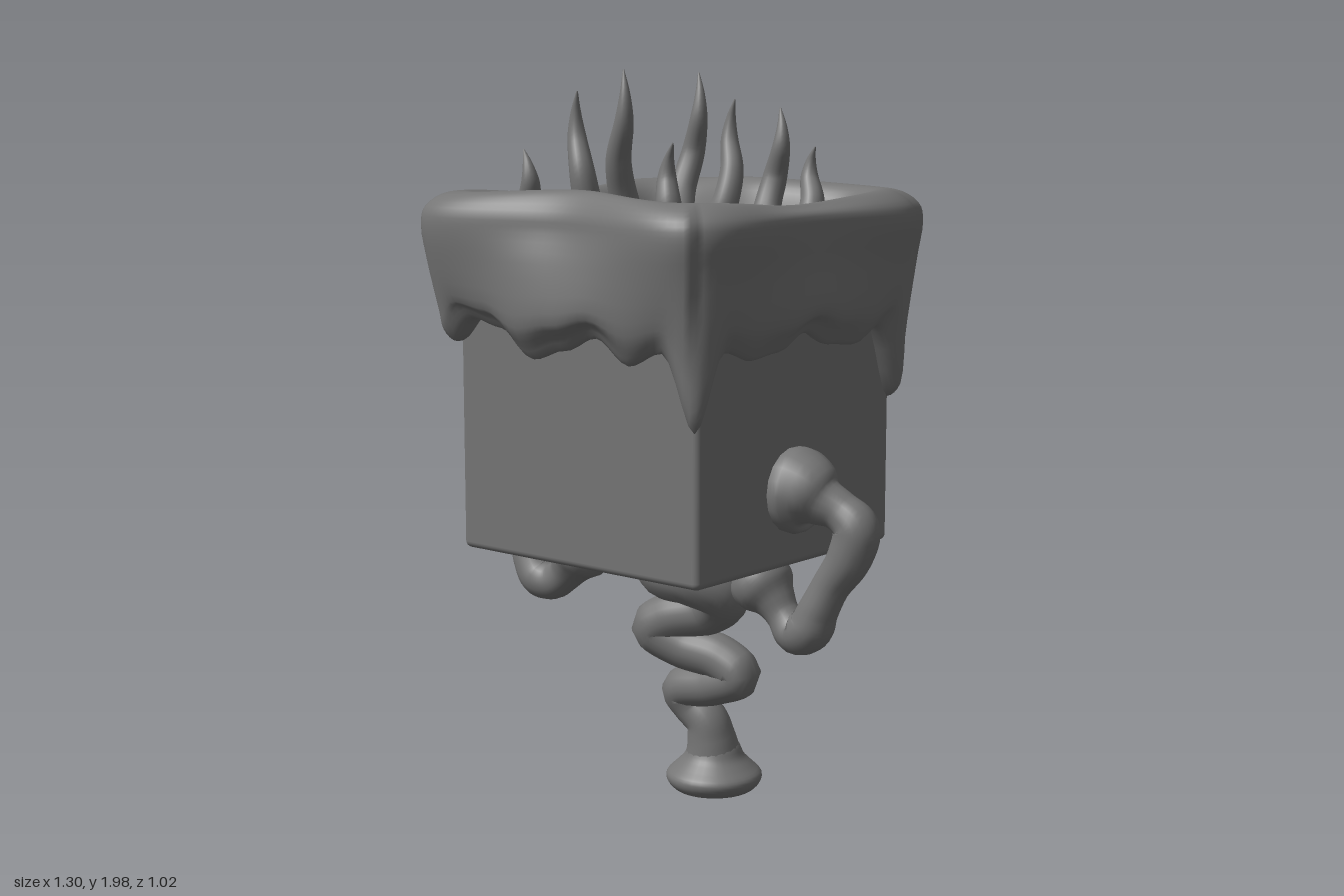
import * as THREE from 'three';
import { RoundedBoxGeometry } from 'three/addons/geometries/RoundedBoxGeometry.js';

const clay = new THREE.MeshStandardMaterial({ color: 0x757575 });
clay.name = 'grey clay';

const spline = (pts) => new THREE.CatmullRomCurve3(pts.map((p) => new THREE.Vector3(...p)), false, 'centripetal');

// Skin a grid of rows (each a closed ring of points) with smooth normals
function skin(rows) {
  const n = rows[0].length;
  const index = [];
  for (let j = 0; j < rows.length - 1; j++) {
    for (let i = 0; i < n; i++) {
      const k = (i + 1) % n, a = j * n + i, b = j * n + k;
      index.push(a, b, b + n, a, b + n, a + n);
    }
  }
  const g = new THREE.BufferGeometry();
  g.setAttribute('position', new THREE.Float32BufferAttribute(rows.flat().flatMap((p) => p.toArray()), 3));
  g.setIndex(index);
  g.computeVertexNormals();
  return g;
}

// Tube through [x, y, z, radius] points, closed at both ends
function limb(points, steps = 64, sides = 18) {
  const curve = spline(points);
  const radii = spline(points.map((p, i) => [i, p[3], 0]));
  const frames = curve.computeFrenetFrames(steps, false);
  const rows = [];
  for (let j = 0; j <= steps; j++) {
    const t = j / steps;
    const c = curve.getPointAt(t);
    const r = radii.getPoint(curve.getUtoTmapping(t)).y;
    const ring = [];
    for (let i = 0; i < sides; i++) {
      const a = (i / sides) * Math.PI * 2;
      ring.push(c.clone()
        .addScaledVector(frames.normals[j], Math.cos(a) * r)
        .addScaledVector(frames.binormals[j], Math.sin(a) * r));
    }
    rows.push(ring);
  }
  const cap = (p) => Array.from({ length: sides }, () => p.clone());
  return skin([cap(curve.getPoint(0)), ...rows, cap(curve.getPoint(1))]);
}

// Lower edge heights of the icing: front, +x side, back, -x side
const drips = [
  1.28, 1.35, 1.33, 1.26, 1.29, 1.33, 1.27, 1.31,
  1.12, 1.31, 1.28, 1.29, 1.33, 1.29, 1.28, 1.32,
  1.12, 1.27, 1.33, 1.36, 1.34, 1.30, 1.35, 1.30,
  1.21, 1.29, 1.33, 1.35, 1.30, 1.33, 1.34, 1.32,
];
function dripHeight(u) {
  const s = u * drips.length, i = Math.floor(s), f = s - i;
  return THREE.MathUtils.lerp(drips[i % 32], drips[(i + 1) % 32], f * f * (3 - 2 * f));
}

function icingGeometry() {
  const around = 160, up = 48;
  const columns = [];
  for (let i = 0; i < around; i++) {
    const u = i / around;
    const side = Math.floor(u * 4), t = (u * 4 - side) * 2 - 1;
    const [sx, sz] = [[t, 1], [1, -t], [-t, -1], [-1, t]][side];
    const mid = Math.cos((t * Math.PI) / 2) ** 2.5;
    const endSide = side % 2;
    const low = dripHeight(u);
    const top = 1.672 - (endSide ? 0.022 : -0.016) * mid;
    const pinch = mid * (endSide ? 0.042 : 0.085);
    const belly = mid * [0.02, 0.015, 0.04, 0.015][side];
    const flare = endSide ? 0 : 0.016;
    // half width, height, squareness
    const profile = [
      [0.395, low + 0.01, 14], [0.428, low, 14], [0.452, low + 0.03, 13],
      [0.468 + belly, low * 0.5 + 0.72, 10],
      [0.49 + flare - pinch * 0.4, 1.5, 7], [0.514 + flare - pinch, 1.585, 5.5],
      [0.507 + flare - pinch, 1.63, 5.5], [0.468 + flare - pinch, top - 0.006, 5.5],
      [0.43 - pinch * 0.8, top, 5.5], [0.385 - pinch * 0.7, top - 0.03, 6],
      [0.355 - pinch * 0.7, 1.57, 6], [0.33 - pinch * 0.6, 1.49, 6],
      [0.27, 1.447, 5], [0.12, 1.447, 4], [0, 1.447, 4],
    ];
    const curve = spline(profile.map(([h, y, p]) => {
      const k = h / (Math.abs(sx) ** p + Math.abs(sz) ** p) ** (1 / p);
      return [sx * k - 0.002, y, sz * k - 0.008];
    }));
    columns.push(Array.from({ length: up + 1 }, (_, j) => curve.getPoint(j / up)));
  }
  return skin(Array.from({ length: up + 1 }, (_, j) => columns.map((c) => c[j])));
}

export function createModel() {
  const model = new THREE.Group();
  const add = (name, geometry, parent = model) => {
    const mesh = new THREE.Mesh(geometry, clay);
    mesh.name = name;
    parent.add(mesh);
    return mesh;
  };

  // Cube body and dripping, hollow top
  add('body', new RoundedBoxGeometry(0.81, 0.71, 0.808, 3, 0.018)).position.set(-0.003, 1.08, -0.02);
  add('icing', icingGeometry());

  // Flame tendrils: base x, z, tip x, y, z
  const tendrils = new THREE.Group();
  tendrils.name = 'tendrils';
  model.add(tendrils);
  [
    [-0.235, -0.22, -0.235, 1.97, -0.39], [-0.07, -0.22, -0.05, 1.90, -0.32],
    [0.09, -0.22, 0.09, 1.88, -0.34], [0.21, -0.23, 0.23, 1.78, -0.31],
    [-0.20, 0.22, -0.25, 1.78, 0.30], [-0.07, 0.21, -0.08, 1.93, 0.28],
    [0.06, 0.19, 0.12, 1.985, 0.33], [0.20, 0.21, 0.27, 1.81, 0.32],
  ].forEach(([bx, bz, tx, ty, tz], i) => {
    const wave = i % 2 ? -0.02 : 0.02;
    const points = [0, 0.07, 0.17, 0.28, 0.42, 0.6, 0.78, 0.9, 1].map((t, j) => {
      const sway = Math.sin(t * Math.PI * 3) * wave;
      const lean = Math.min(1, t * 1.7);
      return [
        THREE.MathUtils.lerp(bx, tx, t) + sway,
        THREE.MathUtils.lerp(1.42, ty, t),
        THREE.MathUtils.lerp(bz, tz, lean * 0.75 + t * 0.25) + sway * 0.6,
        [0.085, 0.086, 0.07, 0.048, 0.038, 0.033, 0.024, 0.013, 0.002][j],
      ];
    });
    add('tendril', limb(points, 40, 14), tendrils);
  });

  // Bent arms with domed shoulders and knobbed hands
  const arms = {
    leftArm: [
      [0.39, 0.925, 0.0, 0.11], [0.43, 0.925, 0.0, 0.112], [0.465, 0.92, 0.0, 0.094],
      [0.495, 0.905, -0.005, 0.066], [0.54, 0.885, -0.015, 0.053], [0.585, 0.845, -0.022, 0.06],
      [0.57, 0.77, -0.018, 0.058], [0.52, 0.69, -0.008, 0.05], [0.485, 0.62, 0.0, 0.053],
      [0.46, 0.57, 0.0, 0.06], [0.415, 0.552, 0.0, 0.057], [0.375, 0.59, 0.0, 0.046],
      [0.345, 0.625, 0.0, 0.058], [0.32, 0.65, 0.0, 0.08], [0.295, 0.675, 0.0, 0.084],
      [0.275, 0.695, 0.0, 0.07], [0.262, 0.708, 0.0, 0.035],
    ],
    rightArm: [
      [-0.39, 0.92, 0.0, 0.108], [-0.43, 0.92, 0.0, 0.106], [-0.465, 0.91, 0.0, 0.085],
      [-0.495, 0.9, -0.005, 0.06], [-0.54, 0.885, -0.015, 0.05], [-0.59, 0.85, -0.02, 0.058],
      [-0.575, 0.77, -0.015, 0.053], [-0.55, 0.68, -0.005, 0.047], [-0.525, 0.61, 0.0, 0.052],
      [-0.49, 0.565, 0.0, 0.058], [-0.44, 0.558, 0.0, 0.052], [-0.395, 0.585, 0.0, 0.05],
      [-0.365, 0.62, 0.0, 0.064], [-0.34, 0.65, 0.0, 0.083], [-0.315, 0.675, 0.0, 0.084],
      [-0.295, 0.695, 0.0, 0.07], [-0.28, 0.708, 0.0, 0.035],
    ],
  };
  for (const [name, points] of Object.entries(arms)) add(name, limb(points, 84));

  // Corkscrew leg
  add('leg', limb([
    [-0.01, 0.75, -0.01, 0.09], [-0.015, 0.71, -0.005, 0.1], [-0.01, 0.665, 0.01, 0.086],
    [0.07, 0.645, 0.01, 0.074], [0.132, 0.6, -0.05, 0.07], [0.06, 0.54, -0.09, 0.068],
    [-0.06, 0.505, -0.065, 0.067], [-0.11, 0.47, -0.055, 0.066], [-0.04, 0.425, -0.085, 0.064],
    [0.07, 0.40, -0.115, 0.063], [0.13, 0.36, -0.125, 0.06], [0.05, 0.32, -0.12, 0.058],
    [-0.07, 0.285, -0.125, 0.058], [-0.05, 0.24, -0.145, 0.058], [-0.008, 0.2, -0.155, 0.06],
    [0.002, 0.15, -0.163, 0.068], [0.004, 0.085, -0.172, 0.082],
  ], 130, 20));

  // Flared foot with a hollow sole
  const foot = [[0, 0.05], [0.055, 0.04], [0.085, 0.008], [0.105, 0.0], [0.128, 0.02],
    [0.132, 0.045], [0.108, 0.07], [0.084, 0.095], [0.07, 0.125], [0.055, 0.14]];
  const sole = new THREE.SplineCurve(foot.map((p) => new THREE.Vector2(...p))).getPoints(36);
  sole.forEach((p) => p.set(Math.max(0, p.x), Math.max(0, p.y)));
  add('foot', new THREE.LatheGeometry(sole, 32)).position.set(0.005, 0.005, -0.172);

  return model;
}
